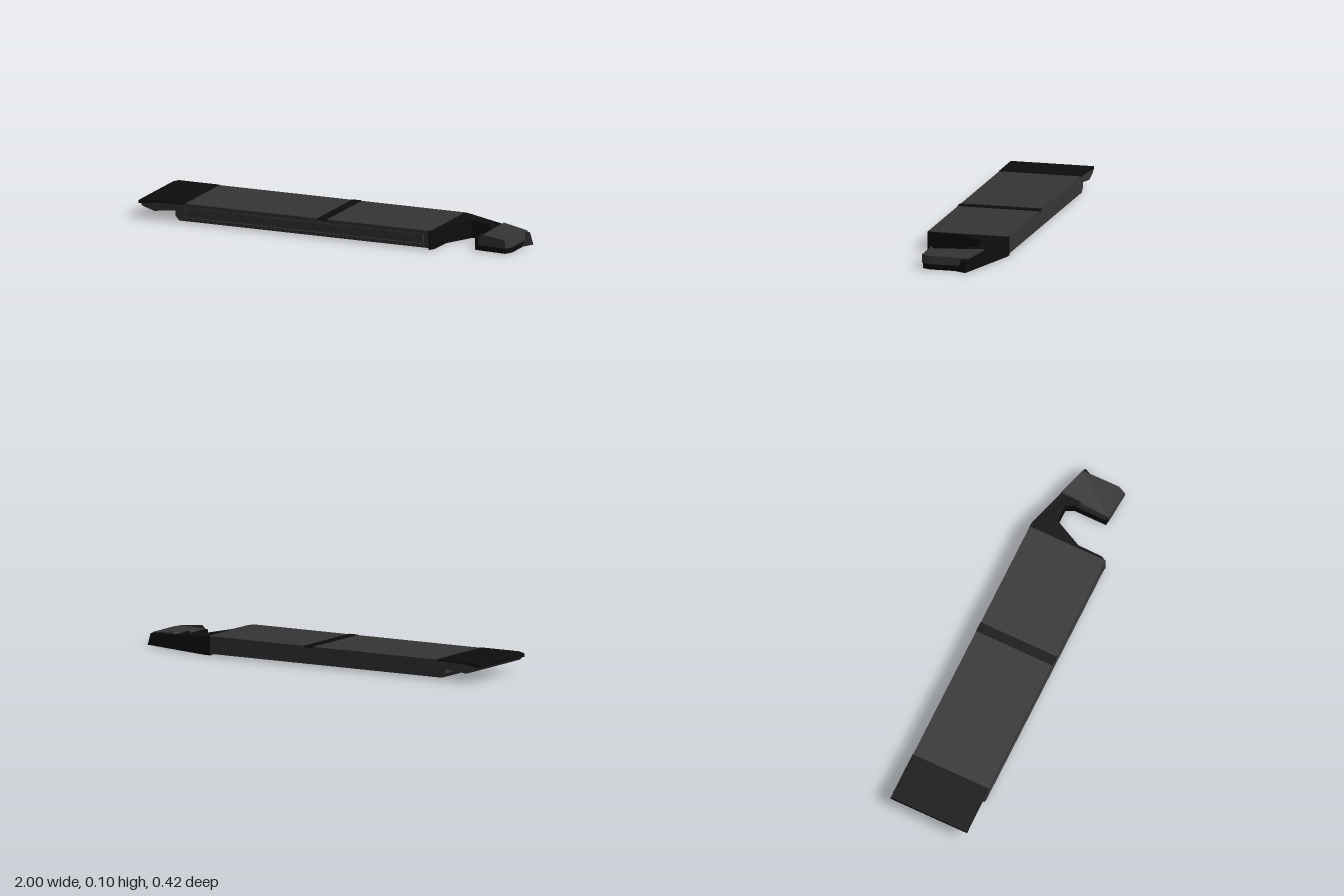
import * as THREE from 'three';

export function createModel() {
  const model = new THREE.Group();
  const mat = (name, color) => new THREE.MeshStandardMaterial({ name, color, flatShading: true });
  const grey = mat('charcoal grey', 0x353535);
  const black = mat('near black', 0x0d0d0d);

  const add = (name, geo, material) => {
    const mesh = new THREE.Mesh(geo, material);
    mesh.name = name;
    model.add(mesh);
    return mesh;
  };
  const shapeOf = (pts) => new THREE.Shape(pts.map(([x, y]) => new THREE.Vector2(x, y)));

  // Side profile (x, y) swept from z0 to z1
  const sweep = (shape, z0, z1) =>
    new THREE.ExtrudeGeometry(shape, { depth: z1 - z0, bevelEnabled: false }).translate(0, 0, z0);

  // Plan outline (x, z) raised between a flat bottom and a sloping top
  const slab = (plan, bottom, topAt, inset = 0) => {
    const geo = new THREE.ExtrudeGeometry(shapeOf(plan.map(([x, z]) => [x, -z])), { depth: 1, bevelEnabled: false });
    geo.rotateX(-Math.PI / 2);
    const p = geo.attributes.position;
    for (let i = 0; i < p.count; i++) {
      const x = p.getX(i);
      if (p.getY(i) > 0.5) {
        p.setY(i, topAt(x));
        if (x > 0.94) p.setX(i, x - inset);
      } else p.setY(i, bottom);
    }
    geo.computeVertexNormals();
    return geo;
  };

  // Long hull with the undercut nose
  const hullProfile = [
    [-0.8, 0.03], [-0.78, 0.008], [0.58, 0.008], [0.58, 0.096], [-0.75, 0.096],
    [-0.91, 0.088], [-0.994, 0.075], [-0.985, 0.06], [-0.92, 0.04], [-0.8, 0.055],
  ];
  add('hull', sweep(shapeOf(hullProfile), -0.208, 0.196), grey);

  // Raised frame around the recessed front panel
  const frame = shapeOf([[-0.8, 0.03], [-0.78, 0.008], [0.575, 0.008], [0.575, 0.096], [-0.8, 0.096]]);
  frame.holes.push(new THREE.Path([[-0.75, 0.025], [-0.75, 0.078], [0.55, 0.078], [0.55, 0.025]]
    .map(([x, y]) => new THREE.Vector2(x, y))));
  add('frontFrame', sweep(frame, 0.196, 0.207), grey);
  const panel = new THREE.BoxGeometry(1.28, 0.043, 0.007);
  add('frontPanel', panel, grey).position.set(-0.1, 0.0515, 0.199);

  // Black nose cap
  add('noseCap', sweep(shapeOf([
    [-0.75, 0.092], [-0.75, 0.098], [-0.97, 0.098], [-1, 0.09], [-1, 0.073], [-0.91, 0.087],
  ]), -0.21, 0.208), black);

  // Cross band on the deck, folded over the front edge
  add('deckBand', new THREE.BoxGeometry(0.05, 0.008, 0.418), black).position.set(-0.005, 0.0942, 0);

  // Tapering arm and black end wall
  const armTop = (x) => 0.096 - 0.083 * (x - 0.57);
  add('rearArm', slab([
    [0.57, -0.209], [0.6, -0.209], [1, -0.1], [0.97, -0.04], [0.79, -0.04], [0.76, -0.1],
    [0.67, -0.1], [0.595, 0.05], [0.592, 0.18], [0.578, 0.208], [0.57, 0.208],
  ], 0, armTop, 0.018), black);

  // Hooked end: black base with a grey sloping cover
  add('hookBase', slab([
    [0.78, -0.1], [0.97, -0.1], [0.97, 0.09], [0.952, 0.128], [0.82, 0.118], [0.78, 0.112],
  ], 0, () => 0.034), black);
  add('hookInnerWall', slab([
    [0.78, -0.09], [0.8, -0.09], [0.8, 0.114], [0.78, 0.112],
  ], 0.03, () => 0.066), black);
  add('hookCover', slab([
    [0.8, -0.146], [0.82, -0.146], [0.972, -0.104], [0.974, 0.095], [0.955, 0.134], [0.82, 0.122], [0.8, 0.118],
  ], 0.028, (x) => (x < 0.81 ? 0.066 : 0.083 - 0.1 * (x - 0.82)), 0.006), grey);

  return model;
}
